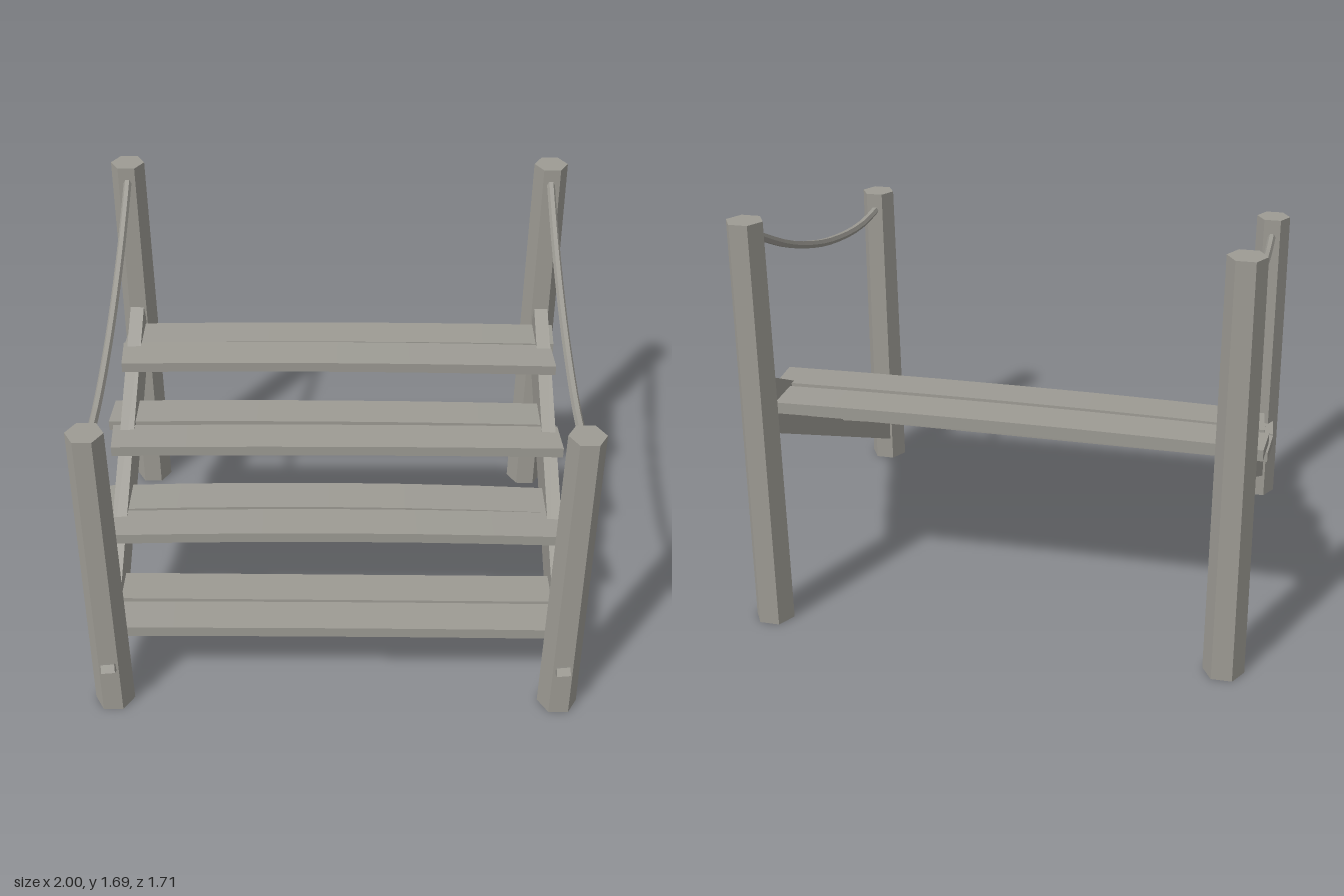
import * as THREE from 'three';

export function createModel() {
  const model = new THREE.Group();
  model.name = 'openStaircase';
  const wood = new THREE.MeshStandardMaterial({ color: 0x9d9b94, flatShading: true });
  wood.name = 'weathered wood';

  function add(geometry, name) {
    const mesh = new THREE.Mesh(geometry, wood);
    mesh.name = name;
    model.add(mesh);
    return mesh;
  }

  // Tapered hexagonal post, corners pointing sideways
  function post(name, x, z, height) {
    const geo = new THREE.CylinderGeometry(0.072, 0.081, height, 6);
    geo.rotateY(Math.PI / 6);
    add(geo, name).position.set(x, height / 2, z);
  }

  // Side board outline in (z, y)
  const outline = [[0.69, 0.1], [0.69, 0.375], [0.61, 0.375], [-0.68, 1.02], [-0.72, 0.94], [-0.72, 0.8]];
  const stringerShape = new THREE.Shape(outline.map(([z, y]) => new THREE.Vector2(-z, y)));

  // Sagging handrail path in (z, y)
  const sag = [[0.71, 1.278], [0.55, 1.27], [0.38, 1.28], [0.2, 1.306], [0, 1.347],
    [-0.2, 1.404], [-0.4, 1.474], [-0.6, 1.562], [-0.74, 1.63]];

  for (const side of [1, -1]) {
    const label = side > 0 ? 'left' : 'right';
    post(label + 'FrontPost', side * 0.915, 0.753, 1.355);
    post(label + 'BackPost', side * 0.917, -0.782, 1.69);

    const board = new THREE.ExtrudeGeometry(stringerShape, { depth: 0.06, bevelEnabled: false });
    board.translate(0, 0, -0.03);
    board.rotateY(Math.PI / 2);
    add(board, label + 'Stringer').position.x = side * 0.915;

    const path = new THREE.CatmullRomCurve3(sag.map(([z, y]) => new THREE.Vector3(side * 0.915, y, z)));
    add(new THREE.TubeGeometry(path, 14, 0.017, 6), label + 'RopeRail');

    // Tilted peg on the front post
    const peg = add(new THREE.BoxGeometry(0.055, 0.035, 0.08), label + 'Peg');
    peg.position.set(side * 0.913, 0.235, 0.817);
    peg.rotation.set(-0.55, 0, 0.08);
  }

  // Plank: [x min, x max, z min, z max, y centre, bow, yaw, roll]
  const planks = [
    [-0.955, 0.97, -0.7, -0.537, 0.903, 0.006, 0.003, 0],
    [-0.96, 0.953, -0.525, -0.36, 0.906, 0.006, -0.003, 0.03],
    [-0.998, 0.94, -0.337, -0.175, 0.72, 0.006, -0.004, 0],
    [-0.975, 0.962, -0.157, 0.005, 0.718, 0.004, 0.004, 0],
    [-0.998, 0.93, 0.033, 0.2, 0.535, 0.014, -0.002, 0],
    [-0.953, 0.972, 0.21, 0.37, 0.536, 0.01, 0.002, 0],
    [-0.963, 0.96, 0.402, 0.567, 0.351, 0, -0.003, -0.04],
    [-0.98, 0.95, 0.58, 0.735, 0.352, 0.003, 0, 0],
  ];
  planks.forEach(([x0, x1, z0, z1, y, bow, yaw, roll], i) => {
    const width = x1 - x0;
    const geo = new THREE.BoxGeometry(width, 0.046, z1 - z0, 6, 1, 1);
    const p = geo.attributes.position;
    // Arch the middle and skew the sawn ends a little
    for (let k = 0; k < p.count; k++) {
      const t = p.getX(k) / (width / 2);
      p.setY(k, p.getY(k) + bow * (1 - 1.6 * t * t));
      p.setX(k, p.getX(k) + (i % 2 ? 0.06 : -0.06) * p.getZ(k) * Math.abs(t));
    }
    geo.computeVertexNormals();
    const plank = add(geo, 'treadPlank' + (i + 1));
    plank.position.set((x0 + x1) / 2, y, (z0 + z1) / 2);
    plank.rotation.set(roll, yaw, 0);
  });

  return model;
}
